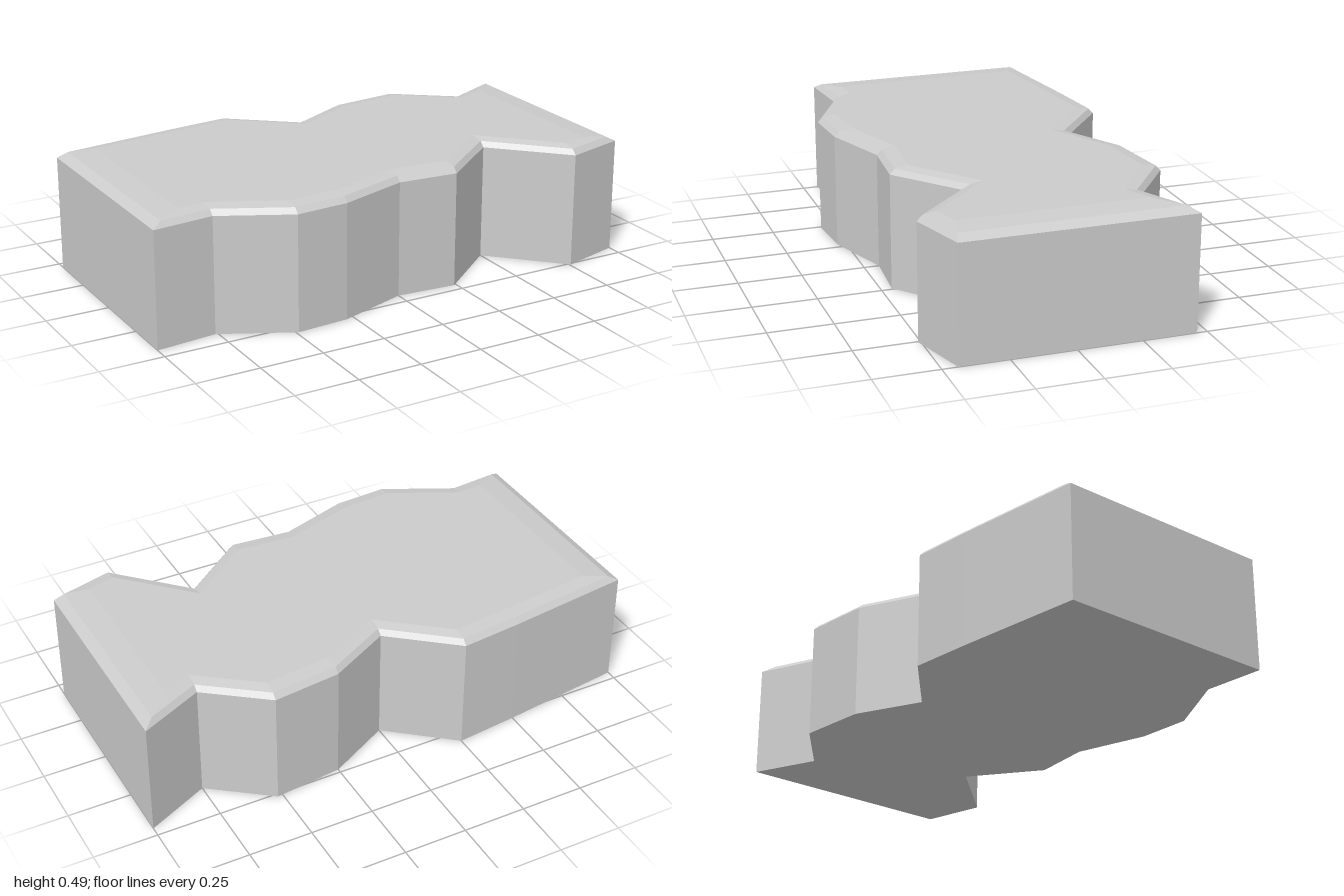
import * as THREE from 'three';

// Plan outline as [x, z], each edge running from right (-x) to left (+x)
const FRONT = [[-1, 0.44], [-0.76, 0.415], [-0.49, 0.55], [-0.28, 0.535], [0, 0.44],
  [0.24, 0.458], [0.5, 0.25], [0.755, 0.51], [1, 0.44]];
const BACK = [[-1, -0.46], [-0.5, -0.527], [-0.25, -0.555], [0, -0.35],
  [0.25, -0.483], [0.52, -0.515], [0.75, -0.34], [1, -0.46]];

// Height of each level, how far its ends and its long edges are drawn in
const LEVELS = [
  { y: 0, end: 0, edge: 0 },
  { y: 0.456, end: 0, edge: 0 },
  { y: 0.477, end: 0.04, edge: 0.02 },
  { y: 0.486, end: 0.135, edge: 0.072 },
];

// Moves the two end points inward along the edge, then the whole edge in z
function insetEdge(edge, end, dz) {
  const slide = ([x0, z0], [x1, z1]) => {
    const t = end / Math.abs(x1 - x0);
    return [x0 + (x1 - x0) * t, z0 + (z1 - z0) * t];
  };
  const n = edge.length - 1;
  return edge.map((p, i) => {
    const [x, z] = i === 0 ? slide(p, edge[1]) : i === n ? slide(p, edge[n - 1]) : p;
    return [x, z + dz];
  });
}

function makeRing({ y, end, edge }) {
  const front = insetEdge(FRONT, end, -edge);
  const back = insetEdge(BACK, end, edge).reverse();
  return [...front, ...back].map(([x, z]) => new THREE.Vector3(x, y, z));
}

function meshFrom(points, name) {
  const geometry = new THREE.BufferGeometry().setFromPoints(points);
  geometry.computeVertexNormals();
  const material = new THREE.MeshStandardMaterial({ color: 0xcccccc, flatShading: true });
  const mesh = new THREE.Mesh(geometry, material);
  mesh.name = name;
  return mesh;
}

// Band of quads joining two rings
function band(low, high) {
  return low.flatMap((a, i) => {
    const j = (i + 1) % low.length;
    return [a, low[j], high[j], a, high[j], high[i]];
  });
}

// Flat cap filling one ring
function cap(ring, up) {
  const contour = ring.map((p) => new THREE.Vector2(p.x, -p.z));
  return THREE.ShapeUtils.triangulateShape(contour, [])
    .flatMap(([a, b, c]) => (up ? [a, b, c] : [a, c, b]).map((i) => ring[i]));
}

export function createModel() {
  const group = new THREE.Group();
  group.name = 'rockSlab';
  const [base, rim, lip, crown] = LEVELS.map(makeRing);
  group.add(
    meshFrom(band(base, rim), 'sideWalls'),
    meshFrom(band(rim, lip), 'outerBevel'),
    meshFrom(band(lip, crown), 'innerBevel'),
    meshFrom(cap(crown, true), 'topFace'),
    meshFrom(cap(base, false), 'underside'),
  );
  return group;
}
